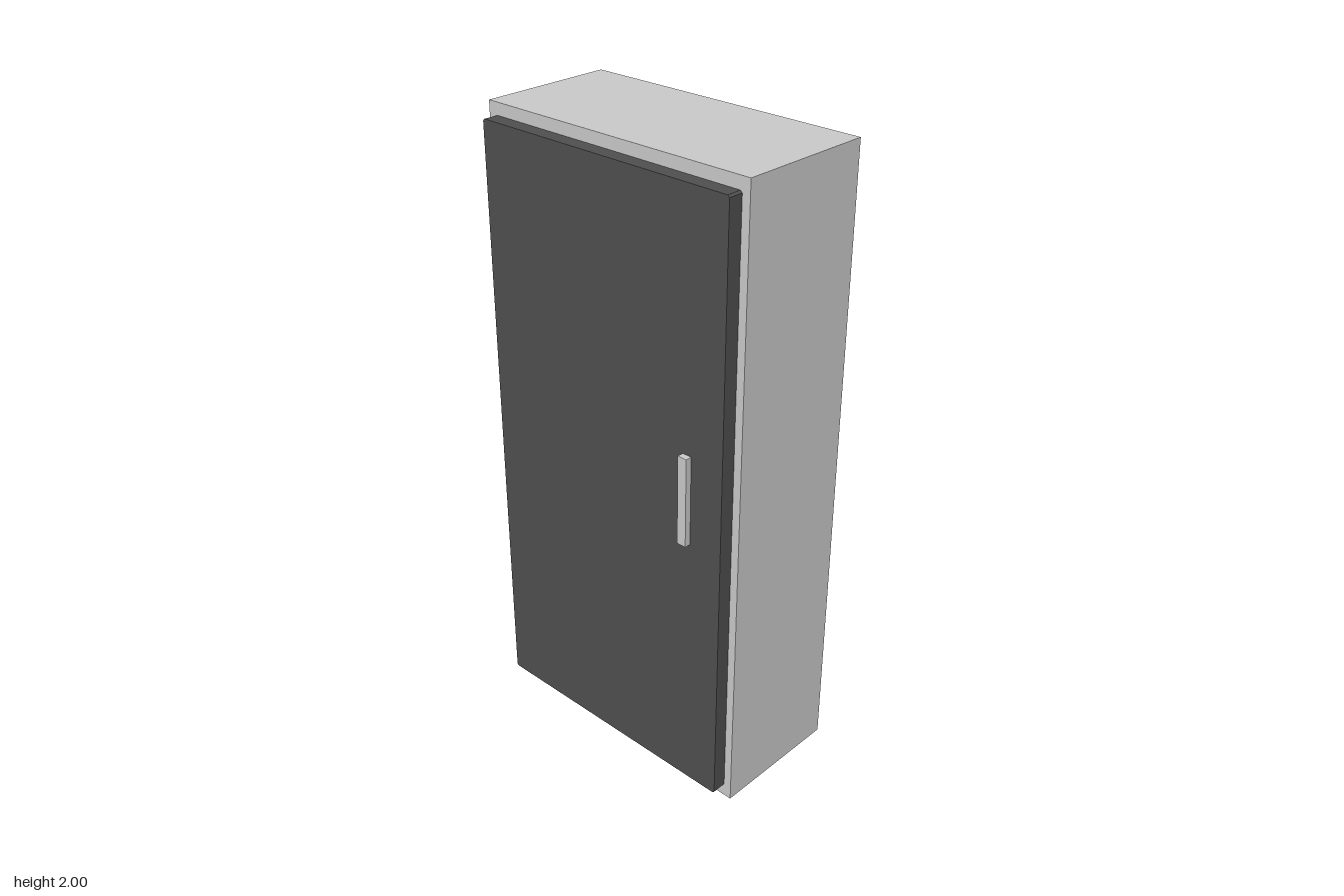
import * as THREE from 'three';

const grey = new THREE.MeshStandardMaterial({ color: 0xcccccc });
const dark = new THREE.MeshStandardMaterial({ color: 0x505050 });

// Box given by its minimum and maximum corners
function box(name, [x0, y0, z0], [x1, y1, z1], material) {
  const mesh = new THREE.Mesh(new THREE.BoxGeometry(x1 - x0, y1 - y0, z1 - z0), material);
  mesh.position.set((x0 + x1) / 2, (y0 + y1) / 2, (z0 + z1) / 2);
  mesh.name = name;
  return mesh;
}

// Upright panel with slightly clipped corners
function panel(name, w, h, depth, clip, material) {
  const x = w / 2, y = h / 2;
  const shape = new THREE.Shape([
    [-x + clip, -y], [x - clip, -y], [x, -y + clip], [x, y - clip],
    [x - clip, y], [-x + clip, y], [-x, y - clip], [-x, -y + clip],
  ].map(([px, py]) => new THREE.Vector2(px, py)));
  const mesh = new THREE.Mesh(new THREE.ExtrudeGeometry(shape, { depth, bevelEnabled: false }), material);
  mesh.name = name;
  return mesh;
}

export function createModel() {
  const group = new THREE.Group();
  group.name = 'cabinet';

  // Cabinet body
  group.add(box('body', [-0.48, 0, -0.253], [0.48, 2, 0.186], grey));

  // Door standing proud of the front
  const door = panel('door', 0.908, 1.924, 0.047, 0.006, dark);
  door.position.set(0, 1, 0.186);
  group.add(door);

  // Upright handle on the door's left side
  group.add(box('handle', [0.31, 0.905, 0.233], [0.341, 1.19, 0.253], grey));

  return group;
}
